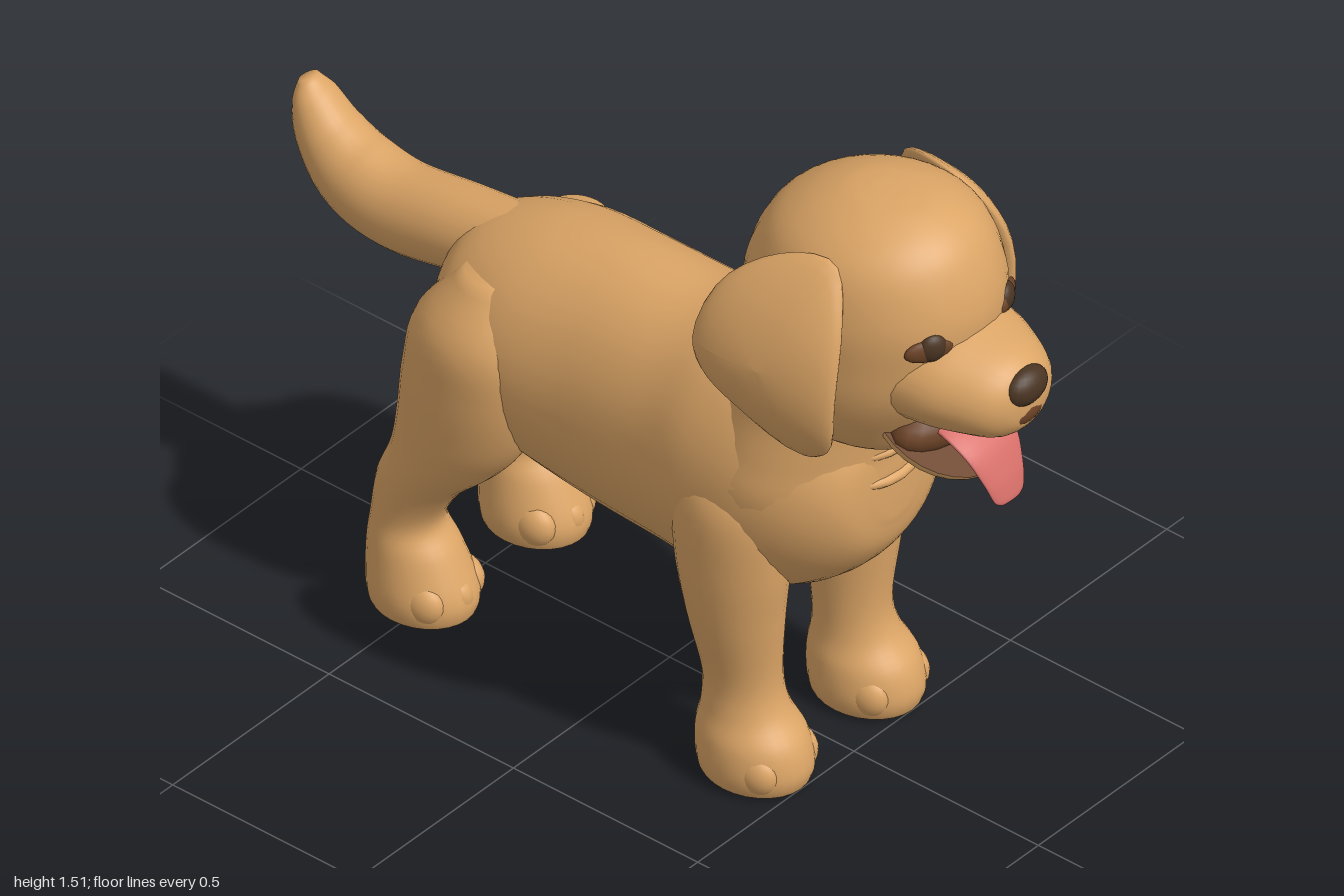
import * as THREE from 'three';

const paint = (name, color) => {
  const m = new THREE.MeshStandardMaterial({ color });
  m.name = name;
  return m;
};

// Smooth closed skin over oval sections [x, y, z, rx, r2].
// axis 'y': level rings, listed top down; 'z': upright rings, back to front; 'path': rings square to the path.
function loft(rows, axis, n = 28, sub = 5) {
  const mid = new THREE.CatmullRomCurve3(rows.map(r => new THREE.Vector3(r[0], r[1], r[2])), false, 'catmullrom', 0.5);
  const rad = new THREE.CatmullRomCurve3(rows.map(r => new THREE.Vector3(r[3], r[4], 0)), false, 'catmullrom', 0.5);
  const steps = (rows.length - 1) * sub;
  const pos = [], idx = [], X = new THREE.Vector3(1, 0, 0);
  for (let i = 0; i <= steps; i++) {
    const t = i / steps, p = mid.getPoint(t), r = rad.getPoint(t);
    const v = axis === 'y' ? new THREE.Vector3(0, 0, 1)
      : axis === 'z' ? new THREE.Vector3(0, 1, 0)
      : mid.getTangent(t).cross(X).normalize();
    for (let j = 0; j < n; j++) {
      const a = j / n * Math.PI * 2, c = Math.cos(a) * r.x, s = Math.sin(a) * r.y;
      pos.push(p.x + c, p.y + v.y * s, p.z + v.z * s);
    }
  }
  for (let i = 0; i < steps; i++) {
    for (let j = 0; j < n; j++) {
      const a = i * n + j, b = i * n + (j + 1) % n;
      idx.push(a, b, b + n, a, b + n, a + n);
    }
  }
  // end caps
  const first = (steps + 1) * n, last = first + 1, off = steps * n;
  const p0 = mid.getPoint(0), p1 = mid.getPoint(1);
  pos.push(p0.x, p0.y, p0.z, p1.x, p1.y, p1.z);
  for (let j = 0; j < n; j++) {
    const k = (j + 1) % n;
    idx.push(first, k, j, last, off + j, off + k);
  }
  const g = new THREE.BufferGeometry();
  g.setAttribute('position', new THREE.Float32BufferAttribute(pos, 3));
  g.setIndex(idx);
  g.computeVertexNormals();
  return g;
}

// Oval blob
function blob(x, y, z, rx, ry, rz, turn = 0) {
  return new THREE.SphereGeometry(1, 20, 14).scale(rx, ry, rz).rotateY(turn).translate(x, y, z);
}

// Floppy ear: a domed leaf fitted to a side outline of (z, y) points
function earGeometry(s) {
  const outline = new THREE.CatmullRomCurve3([
    [0.35, 1.2], [0.39, 1.34], [0.5, 1.42], [0.62, 1.43], [0.68, 1.32],
    [0.69, 1.15], [0.66, 1.01], [0.59, 0.96], [0.46, 1.05], [0.38, 1.12],
  ].map(([z, y]) => new THREE.Vector3(0, y, z)), true);
  const g = new THREE.SphereGeometry(1, 36, 16);
  const p = g.attributes.position, uv = g.attributes.uv;
  for (let i = 0; i < p.count; i++) {
    const side = p.getY(i), r = Math.hypot(p.getX(i), p.getZ(i));
    const u = ((Math.atan2(p.getZ(i), -p.getX(i)) / (Math.PI * 2)) + 1) % 1;
    const o = outline.getPoint(u);
    const y = 1.2 + (o.y - 1.2) * r, z = 0.53 + (o.z - 0.53) * r;
    const x = 0.315 - 1.3 * (y - 1.15) ** 2 + (0.52 - z) * 0.15 + side * 0.042;
    p.setXYZ(i, x * s, y, z);
  }
  if (s < 0) g.index.array.reverse();
  g.computeVertexNormals();
  return g;
}

export function createModel() {
  const fur = paint('golden fur', 0xdca566);
  const brown = paint('dark brown', 0x6b4226);
  const black = paint('nose brown', 0x4a3422);
  const pink = paint('tongue pink', 0xd9706a);

  const model = new THREE.Group();
  model.name = 'puppy';
  const add = (name, geometry, material, parent = model) => {
    const m = new THREE.Mesh(geometry, material);
    m.name = name;
    parent.add(m);
    return m;
  };

  // Torso, neck and tail
  add('torso', loft([
    [0, 0.72, -0.555, 0.06, 0.08], [0, 0.72, -0.52, 0.15, 0.17], [0, 0.72, -0.45, 0.215, 0.225],
    [0, 0.715, -0.3, 0.25, 0.275], [0, 0.7, -0.1, 0.24, 0.31], [0, 0.695, 0.1, 0.25, 0.315],
    [0, 0.71, 0.25, 0.275, 0.325], [0, 0.73, 0.4, 0.27, 0.31], [0, 0.74, 0.52, 0.23, 0.245],
    [0, 0.75, 0.6, 0.16, 0.16], [0, 0.75, 0.622, 0.06, 0.07],
  ], 'z', 36), fur);
  add('neck', loft([
    [0, 1.15, 0.45, 0.2, 0.17], [0, 1.05, 0.45, 0.215, 0.2], [0, 0.95, 0.43, 0.225, 0.205],
    [0, 0.85, 0.41, 0.25, 0.215], [0, 0.75, 0.38, 0.27, 0.24], [0, 0.6, 0.35, 0.25, 0.2],
  ], 'y', 36), fur);
  add('tail', loft([
    [0, 0.87, -0.38, 0.09, 0.09], [0, 0.845, -0.55, 0.095, 0.095], [0, 0.82, -0.72, 0.095, 0.1],
    [0, 0.845, -0.84, 0.09, 0.098], [0, 0.91, -0.92, 0.075, 0.075],
    [0, 0.985, -0.963, 0.055, 0.046], [0, 1.03, -0.98, 0.025, 0.018],
  ], 'path'), fur);

  // Folds of skin on the chest
  for (const [y, z, w] of [[0.655, 0.592, 0.15], [0.78, 0.615, 0.13], [0.85, 0.61, 0.12]]) {
    const g = blob(0, y, z, w, 0.016, 0.022), p = g.attributes.position;
    for (let i = 0; i < p.count; i++) {
      const x = p.getX(i);
      p.setXYZ(i, x, p.getY(i) + x * x * 1.2, p.getZ(i) - x * x * 1.8);
    }
    g.computeVertexNormals();
    add('chestFold', g, fur);
  }

  // Head
  const head = new THREE.Group();
  head.name = 'head';
  model.add(head);
  add('skull', loft([
    [0, 1.508, 0.6, 0.03, 0.04], [0, 1.497, 0.598, 0.09, 0.11], [0, 1.46, 0.59, 0.165, 0.185],
    [0, 1.4, 0.575, 0.22, 0.243], [0, 1.3, 0.565, 0.25, 0.283], [0, 1.2, 0.555, 0.255, 0.288],
    [0, 1.1, 0.55, 0.25, 0.27], [0, 1.0, 0.54, 0.22, 0.22], [0, 0.93, 0.57, 0.15, 0.155],
    [0, 0.9, 0.6, 0.06, 0.07],
  ], 'y', 36), fur, head);
  add('muzzle', loft([
    [0, 1.15, 0.66, 0.19, 0.13], [0, 1.15, 0.8, 0.172, 0.125], [0, 1.145, 0.88, 0.145, 0.11],
    [0, 1.14, 0.94, 0.112, 0.092], [0, 1.14, 0.972, 0.072, 0.062], [0, 1.14, 0.983, 0.03, 0.03],
  ], 'z'), fur, head);
  add('nose', blob(0, 1.175, 0.964, 0.06, 0.043, 0.036), black, head);
  add('upperLip', blob(0, 1.112, 0.955, 0.058, 0.034, 0.031), brown, head);

  // Open mouth: lower jaw dish, dark lining and tongue
  const jaw = new THREE.Group();
  jaw.name = 'lowerJaw';
  jaw.position.set(0, 1.0, 0.74);
  jaw.rotation.x = 0.5;
  head.add(jaw);
  add('chin', new THREE.SphereGeometry(1, 28, 10, 0, Math.PI * 2, Math.PI / 2, Math.PI / 2)
    .scale(0.155, 0.075, 0.165), fur, jaw);
  add('mouthFloor', new THREE.CircleGeometry(1, 28).rotateX(-Math.PI / 2).scale(0.155, 1, 0.165), brown, jaw);
  add('mouthLining', blob(0, 1.0, 0.74, 0.15, 0.065, 0.075), brown, head);
  add('tongue', loft([
    [0, 1.02, 0.74, 0.075, 0.012], [0, 1.015, 0.81, 0.085, 0.013], [0, 0.98, 0.87, 0.08, 0.012],
    [0, 0.92, 0.905, 0.062, 0.01], [0, 0.875, 0.92, 0.047, 0.009], [0, 0.86, 0.925, 0.03, 0.006],
  ], 'path', 20), pink, head);

  // Paired parts: ears, eyes and legs
  for (const s of [1, -1]) {
    const side = s > 0 ? 'left' : 'right';
    add(side + 'Ear', earGeometry(s), fur, head);
    add(side + 'EyeRim', blob(s * 0.125, 1.26, 0.808, 0.055, 0.027, 0.014, s * 0.48), brown, head);
    add(side + 'Eye', blob(s * 0.117, 1.265, 0.812, 0.032, 0.033, 0.019, s * 0.45), black, head);

    add(side + 'FrontLeg', loft([
      [s * 0.17, 0.8, 0.33, 0.06, 0.07], [s * 0.18, 0.7, 0.33, 0.108, 0.135],
      [s * 0.188, 0.55, 0.33, 0.105, 0.135], [s * 0.185, 0.4, 0.335, 0.095, 0.113],
      [s * 0.175, 0.25, 0.345, 0.08, 0.09], [s * 0.176, 0.17, 0.355, 0.086, 0.097],
      [s * 0.178, 0.11, 0.373, 0.106, 0.125], [s * 0.178, 0.05, 0.383, 0.113, 0.133],
      [s * 0.178, 0.01, 0.383, 0.105, 0.125], [s * 0.178, 0, 0.383, 0.09, 0.11],
    ], 'y'), fur);
    add(side + 'HindLeg', loft([
      [s * 0.13, 0.9, -0.36, 0.06, 0.07], [s * 0.16, 0.78, -0.37, 0.118, 0.155],
      [s * 0.175, 0.65, -0.38, 0.115, 0.172], [s * 0.18, 0.52, -0.405, 0.105, 0.16],
      [s * 0.18, 0.42, -0.45, 0.095, 0.132], [s * 0.18, 0.32, -0.52, 0.085, 0.1],
      [s * 0.18, 0.22, -0.555, 0.08, 0.08], [s * 0.18, 0.15, -0.54, 0.094, 0.104],
      [s * 0.18, 0.06, -0.518, 0.11, 0.125], [s * 0.18, 0.01, -0.515, 0.104, 0.12],
      [s * 0.18, 0, -0.515, 0.09, 0.105],
    ], 'y'), fur);

    // Toes on both paws
    for (const z of [0.46, -0.445]) {
      for (const d of [-0.062, 0, 0.062]) {
        add('toe', blob(s * 0.178 + d, 0.055, z - Math.abs(d) * 0.35, 0.04, 0.052, 0.055), fur);
      }
    }
  }
  return model;
}
